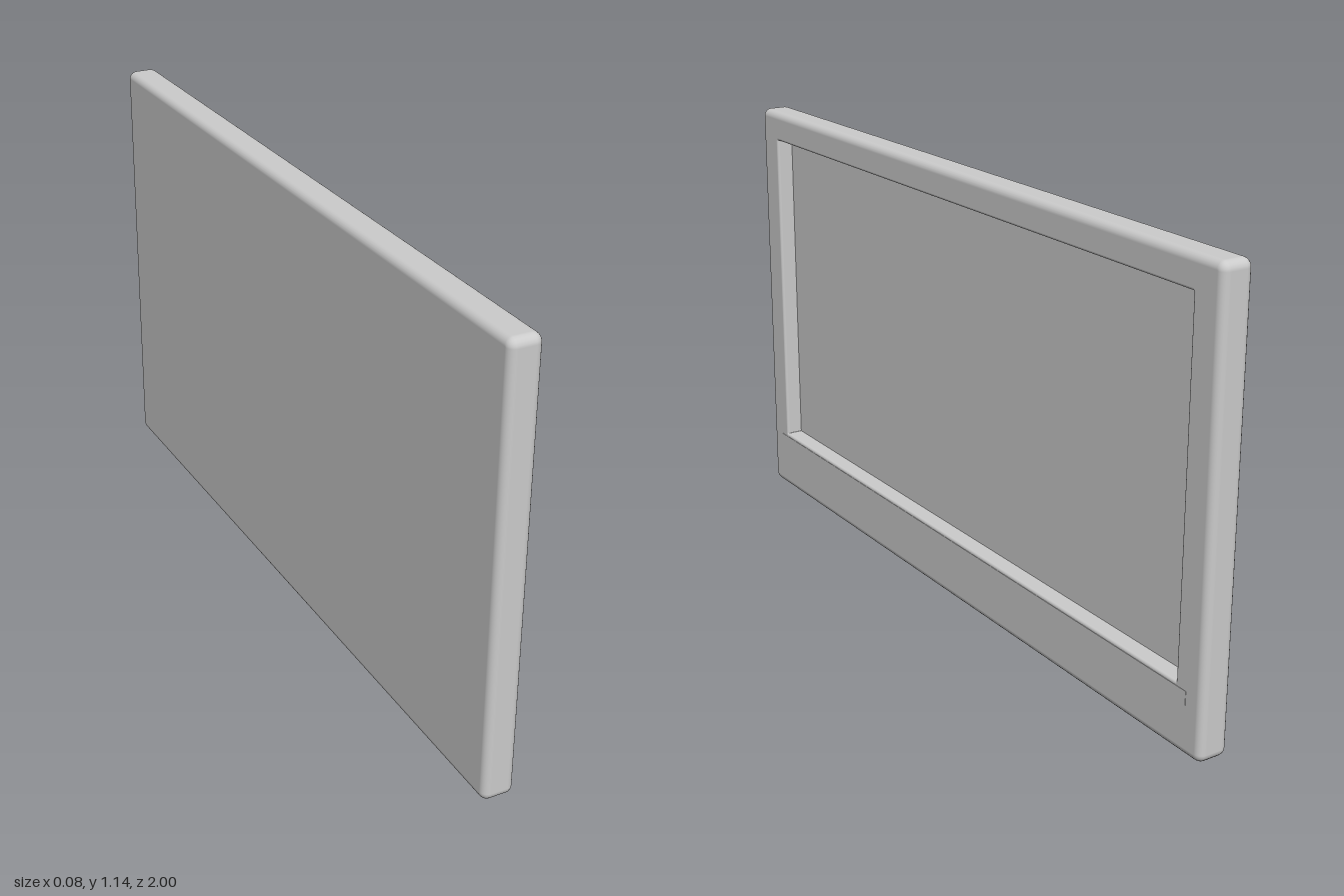
import * as THREE from 'three';

const HALF = 0.041;                                        // half thickness
const OUTER = { z: 1, y0: 0, y1: 1.14, r: 0.022 };         // casing outline
const OPENING = { z: 0.91, y0: 0.17, y1: 1.06, r: 0.002 }; // screen opening
const EDGE = 0.02, LIP = 0.007, SCREEN_X = -0.004;

// Outline grown outwards by d, at depth x; phi is the tilt of the surface normal
const ring = (o, d, x, phi) => ({
  z: o.z + d, y0: o.y0 - d, y1: o.y1 + d, r: Math.max(o.r + d, 0), x, phi,
});

// Skin a row of rounded-rectangle rings, with exact smooth normals
function loft(rings, cornerSteps = 5) {
  const pos = [], nor = [], idx = [];
  const count = 4 * (cornerSteps + 1);
  for (const { z, y0, y1, r, x, phi } of rings) {
    for (let c = 0; c < 4; c++) {
      const cz = (c === 0 || c === 3 ? 1 : -1) * (z - r);
      const cy = c < 2 ? y1 - r : y0 + r;
      for (let s = 0; s <= cornerSteps; s++) {
        const t = (c + s / cornerSteps) * Math.PI / 2;
        pos.push(x, cy + r * Math.sin(t), cz + r * Math.cos(t));
        nor.push(Math.sin(phi), Math.cos(phi) * Math.sin(t), Math.cos(phi) * Math.cos(t));
      }
    }
  }
  for (let i = 0; i < rings.length - 1; i++) {
    for (let j = 0; j < count; j++) {
      const a = i * count + j, b = i * count + (j + 1) % count;
      idx.push(a, a + count, b, b, a + count, b + count);
    }
  }
  const g = new THREE.BufferGeometry();
  g.setAttribute('position', new THREE.Float32BufferAttribute(pos, 3));
  g.setAttribute('normal', new THREE.Float32BufferAttribute(nor, 3));
  g.setIndex(idx);
  return g;
}

export function createModel() {
  const model = new THREE.Group();
  model.name = 'flatPanelDisplay';
  const material = new THREE.MeshStandardMaterial({ color: 0xcccccc });
  const add = (name, geometry) => {
    const mesh = new THREE.Mesh(geometry, material);
    mesh.name = name;
    model.add(mesh);
    return mesh;
  };

  // Casing: flat back, rounded rim, front bezel, then into the recess
  const mid = OUTER.y1 / 2, q = Math.PI / 2, steps = 6;
  const rings = [{ z: 0, y0: mid, y1: mid, r: 0, x: -HALF, phi: -q }];
  for (const side of [-1, 1]) {
    for (let i = 0; i <= steps; i++) {
      const phi = (side < 0 ? i / steps - 1 : i / steps) * q;
      rings.push(ring(OUTER, EDGE * (Math.cos(phi) - 1),
        side * (HALF - EDGE) + EDGE * Math.sin(phi), phi));
    }
  }
  for (let i = 0; i <= steps; i++) {
    const phi = q + (i / steps) * q;
    rings.push(ring(OPENING, LIP * (1 + Math.cos(phi)), HALF - LIP + LIP * Math.sin(phi), phi));
  }
  rings.push(ring(OPENING, 0, SCREEN_X, Math.PI));
  add('casing', loft(rings));

  // Screen panel at the bottom of the recess
  const screen = add('screen',
    new THREE.PlaneGeometry(2 * OPENING.z, OPENING.y1 - OPENING.y0));
  screen.rotation.y = Math.PI / 2;
  screen.position.set(SCREEN_X, (OPENING.y0 + OPENING.y1) / 2, 0);

  // Barely raised trim strip under the screen
  const trim = add('lowerTrim', new THREE.BoxGeometry(0.003, 0.036, 1.89));
  trim.position.set(HALF - 0.0005, 0.143, 0);

  return model;
}
